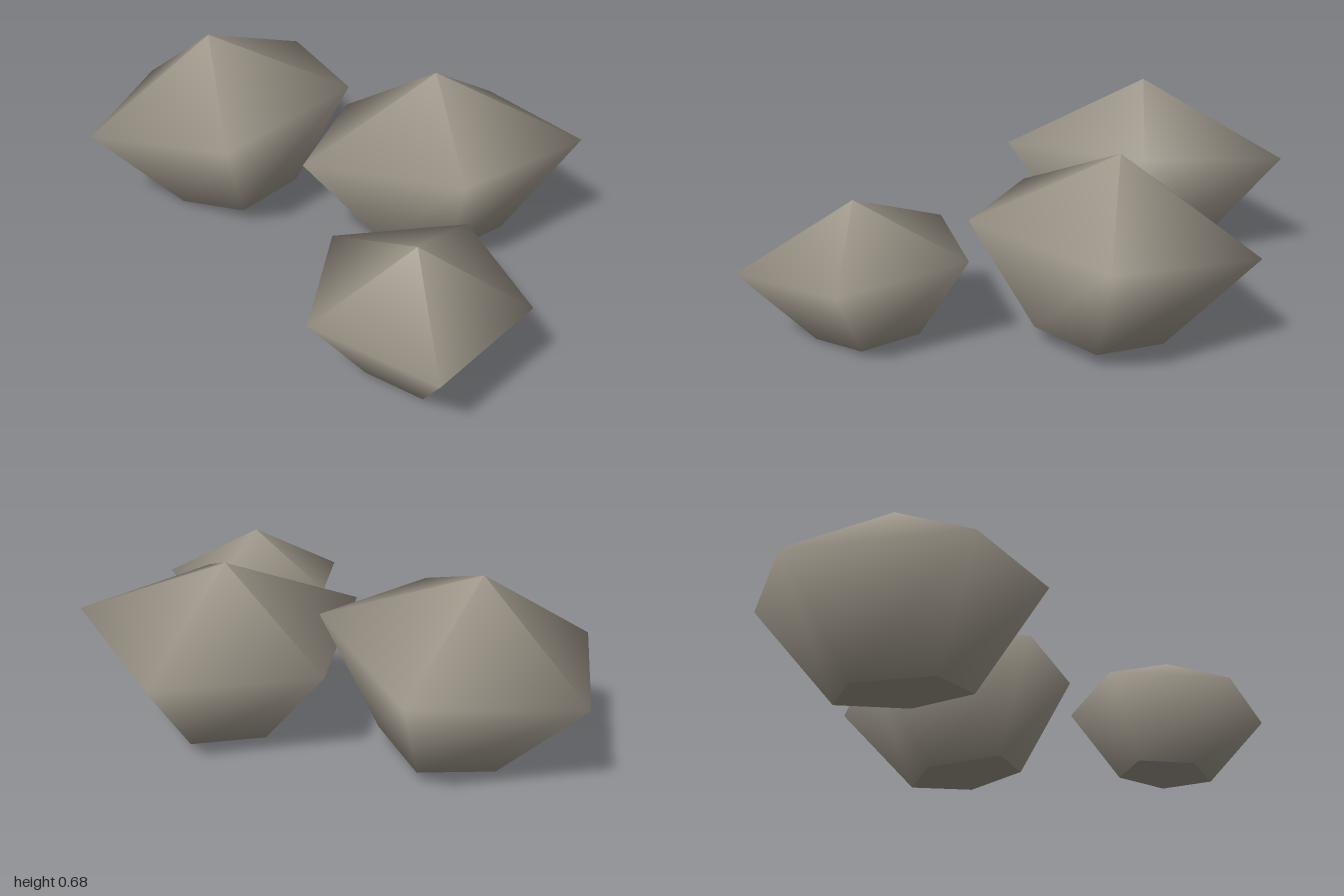
import * as THREE from 'three';

// Each rock: apex, widest ring (x, y, z; clockwise from above) and centre of the small base
const ROCKS = [
  {
    name: 'leftHandRock',
    apex: [-0.57, 0.685, -0.14],
    ring: [[-0.52, 0.43, -0.72], [-0.04, 0.52, -0.31], [-0.2, 0.48, 0.295], [-0.84, 0.365, 0.29], [-1, 0.345, -0.31]],
    base: [-0.45, 0.045, -0.15],
  },
  {
    name: 'backRock',
    apex: [0.315, 0.662, -0.33],
    ring: [[0.34, 0.367, -0.825], [0.845, 0.458, -0.475], [0.63, 0.483, 0.085], [0.02, 0.42, 0.14], [-0.125, 0.352, -0.45]],
    base: [0.38, 0.045, -0.275],
  },
  {
    name: 'smallFrontRock',
    apex: [0.65, 0.507, 0.5],
    ring: [[0.645, 0.343, 0.08], [1, 0.316, 0.37], [0.89, 0.287, 0.82], [0.42, 0.302, 0.79], [0.27, 0.335, 0.365]],
    base: [0.637, 0.03, 0.465],
  },
];
const BASE_RATIO = 0.46;

function rockGeometry({ apex, ring, base }) {
  const n = ring.length;
  const centre = [0, 1, 2].map((k) => ring.reduce((s, p) => s + p[k], 0) / n);
  const foot = ring.map((p) => p.map((v, k) => base[k] + (v - centre[k]) * BASE_RATIO));

  // ring, foot, one apex per facet (creased tip), separate foot for the flat underside
  const points = [...ring, ...foot, ...ring.map(() => apex), ...foot];
  const index = [];
  for (let i = 0; i < n; i++) {
    const j = (i + 1) % n;
    index.push(2 * n + i, j, i); // top facet
    index.push(i, j, n + j, i, n + j, n + i); // tapering side
  }
  for (let i = 1; i < n - 1; i++) index.push(3 * n, 3 * n + i, 3 * n + i + 1); // underside

  const geometry = new THREE.BufferGeometry();
  geometry.setAttribute('position', new THREE.Float32BufferAttribute(points.flat(), 3));
  geometry.setIndex(index);
  geometry.computeVertexNormals();
  return geometry;
}

export function createModel() {
  const group = new THREE.Group();
  group.name = 'rocks';
  const stone = new THREE.MeshStandardMaterial({ color: 0x9e978a });
  stone.name = 'warm grey stone';
  for (const rock of ROCKS) {
    const mesh = new THREE.Mesh(rockGeometry(rock), stone);
    mesh.name = rock.name;
    group.add(mesh);
  }
  return group;
}
